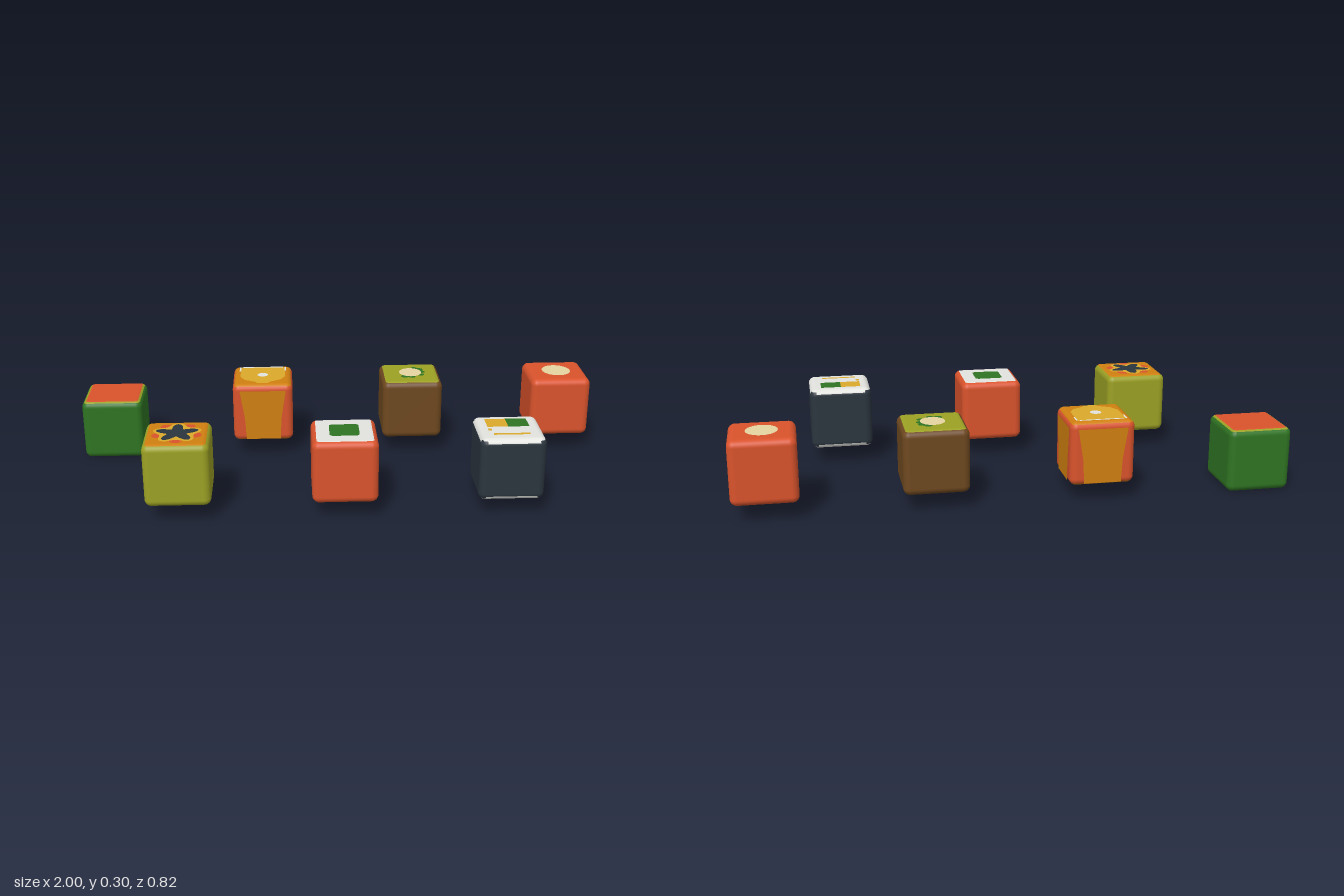
import * as THREE from 'three';
import { RoundedBoxGeometry } from 'three/addons/geometries/RoundedBoxGeometry.js';

const SIZE = 0.234, HALF = SIZE / 2, RADIUS = 0.025, SPACING = 0.2943;

const COLOURS = {
  red: 0xd9532c, green: 0x2f7423, olive: 0x9ca124, brown: 0x6e481f, charcoal: 0x2b353e,
  white: 0xe2e2de, cream: 0xe6d3a0, yellow: 0xdba92a, orange: 0xd07f10,
};

export function createModel() {
  const mats = {};
  for (const [name, color] of Object.entries(COLOURS)) {
    mats[name] = new THREE.MeshStandardMaterial({ color });
    mats[name].name = name;
  }

  // Rounded cube whose quads are coloured by paint(x, y, z)
  function roundedCube(paint) {
    const geo = new RoundedBoxGeometry(SIZE, SIZE, SIZE, 8, RADIUS);
    const pos = geo.attributes.position, used = [], c = new THREE.Vector3(), v = new THREE.Vector3();
    geo.clearGroups();
    let run = 0, last = null;
    const close = (end) => {
      if (last === null) return;
      if (!used.includes(last)) used.push(last);
      geo.addGroup(run, end - run, used.indexOf(last));
    };
    for (let i = 0; i < pos.count; i += 6) {
      c.set(0, 0, 0);
      for (let k = 0; k < 6; k++) c.addScaledVector(v.fromBufferAttribute(pos, i + k), 1 / 6);
      const colour = paint(c.x, c.y, c.z);
      if (colour !== last) { close(i); run = i; last = colour; }
    }
    close(pos.count);
    const mesh = new THREE.Mesh(geo, used.map((n) => mats[n]));
    mesh.name = 'roundedCube';
    return mesh;
  }

  // Flat painted face; points are seen from above, with y towards the back
  function plate(name, points, colour, layer = 1, bottom = false) {
    const shape = new THREE.Shape(points.map(([x, y]) => new THREE.Vector2(x, bottom ? -y : y)));
    const geo = new THREE.ShapeGeometry(shape);
    geo.rotateX(bottom ? Math.PI / 2 : -Math.PI / 2);
    geo.translate(0, (bottom ? -1 : 1) * (HALF + 0.0008 * layer), 0);
    const mesh = new THREE.Mesh(geo, mats[colour]);
    mesh.name = name;
    return mesh;
  }

  // Outlines
  const polar = (n, radius, cx = 0, cy = 0, sy = 1) => Array.from({ length: n }, (_, i) => {
    const a = (i / n) * Math.PI * 2, r = typeof radius === 'function' ? radius(a) : radius;
    return [cx + r * Math.cos(a), cy + r * Math.sin(a) * sy];
  });
  const rect = (x0, y0, x1, y1) => [[x0, y0], [x1, y0], [x1, y1], [x0, y1]];
  const roundRect = (h, r) => polar(32, 1).map(([c, s]) => [
    Math.sign(Math.round(c * 1e6)) * (h - r) + c * r, Math.sign(Math.round(s * 1e6)) * (h - r) + s * r]);
  const petals = (mid, amp, turn) => (a) => mid + amp * Math.cos(5 * (a - turn));

  // Cube with a differently coloured cap
  const capped = (body, cap, from) => roundedCube((x, y) => (y > from ? cap : body));

  const builders = [
    function melonCube() {
      return [roundedCube((x, y) => (y > 0.1155 ? 'red' : y > 0.1105 ? 'olive' : 'green'))];
    },
    function papayaCube() {
      const up = Math.PI / 2;
      return [
        capped('olive', 'orange', 0.1133),
        plate('redFlesh', polar(60, petals(0.076, 0.016, -up)), 'red', 1),
        plate('seedBed', polar(60, petals(0.076, 0.013, up)), 'yellow', 2),
        plate('seedStar', polar(60, petals(0.057, 0.021, up)), 'charcoal', 3),
      ];
    },
    function citrusCube() {
      const parts = [
        roundedCube((x, y) => (Math.abs(y) > 0.108 ? 'orange' : 'red')),
        plate('yellowPulp', [[-0.088, 0.09], [0.088, 0.09], [0.088, -0.02], [0.07, -0.055], [0.03, -0.078],
          [0.02, -0.094], [-0.02, -0.094], [-0.03, -0.078], [-0.07, -0.055], [-0.088, -0.02]], 'yellow', 1),
        plate('core', polar(24, 0.021), 'white', 2),
        plate('backPith', rect(-0.08, 0.085, 0.08, 0.094), 'white', 2),
      ];
      for (const s of [-1, 1]) {
        parts.push(plate('sidePith', rect(s * 0.09 - 0.003, 0.045, s * 0.09 + 0.003, 0.088), 'white', 2));
      }
      // Tapered orange panel on each side
      for (let i = 0; i < 4; i++) {
        const panel = plate('sidePanel', [[-0.067, -0.108], [0.067, -0.108], [0.072, -0.02],
          [0.09, 0.092], [-0.09, 0.092], [-0.072, -0.02]], 'orange', 1);
        panel.geometry.rotateX(Math.PI / 2).rotateY(i * Math.PI / 2);
        parts.push(panel);
      }
      return parts;
    },
    function salmonRollCube() {
      const parts = [roundedCube((x, y) => (Math.abs(y) > 0.1155 ? 'white' : 'red'))];
      for (const b of [false, true]) parts.push(plate('filling', roundRect(0.053, 0.014), 'green', 1, b));
      return parts;
    },
    function kiwiCube() {
      const parts = [capped('brown', 'olive', 0.1133)];
      for (const [x, y, r] of [[0.02, 0.05, 0.014], [0.038, 0.034, 0.017], [0.046, 0.008, 0.014],
        [0.04, -0.024, 0.014], [-0.024, -0.042, 0.016], [0.004, -0.048, 0.014]]) {
        parts.push(plate('seed', polar(12, r, x, y), 'green', 1));
      }
      parts.push(plate('core', polar(32, 0.044, 0, 0.002, 1.1), 'cream', 2));
      return parts;
    },
    function seaweedRollCube() {
      const inner = HALF - RADIUS;
      const parts = [roundedCube((x, y, z) => {
        const corner = Math.abs(x) > inner && Math.abs(z) > inner;
        return Math.abs(y) > (corner ? 0.109 : 0.1) ? 'white' : 'charcoal';
      })];
      for (const b of [false, true]) {
        parts.push(
          plate('eggFilling', rect(-0.078, 0.004, -0.003, 0.078), 'yellow', 1, b),
          plate('greenFilling', rect(-0.003, 0.004, 0.073, 0.078), 'green', 1, b),
          plate('fillingEdge', rect(-0.066, -0.07, 0.064, -0.056), 'yellow', 1, b),
          plate('fillingCorner', rect(-0.079, -0.03, -0.066, -0.01), 'yellow', 1, b),
        );
      }
      return parts;
    },
    function redFruitCube() {
      return [roundedCube(() => 'red'), plate('core', polar(32, 0.056, 0, 0, 1.08), 'cream', 1)];
    },
  ];

  // Staggered rows: even cubes at the back, odd cubes at the front
  const model = new THREE.Group();
  model.name = 'foodCubes';
  builders.forEach((build, i) => {
    const cube = new THREE.Group();
    cube.name = build.name;
    cube.add(...build());
    cube.position.set((i - 3) * SPACING, i === 0 ? HALF : 0.179, i % 2 ? SPACING : -SPACING);
    model.add(cube);
  });
  return model;
}
